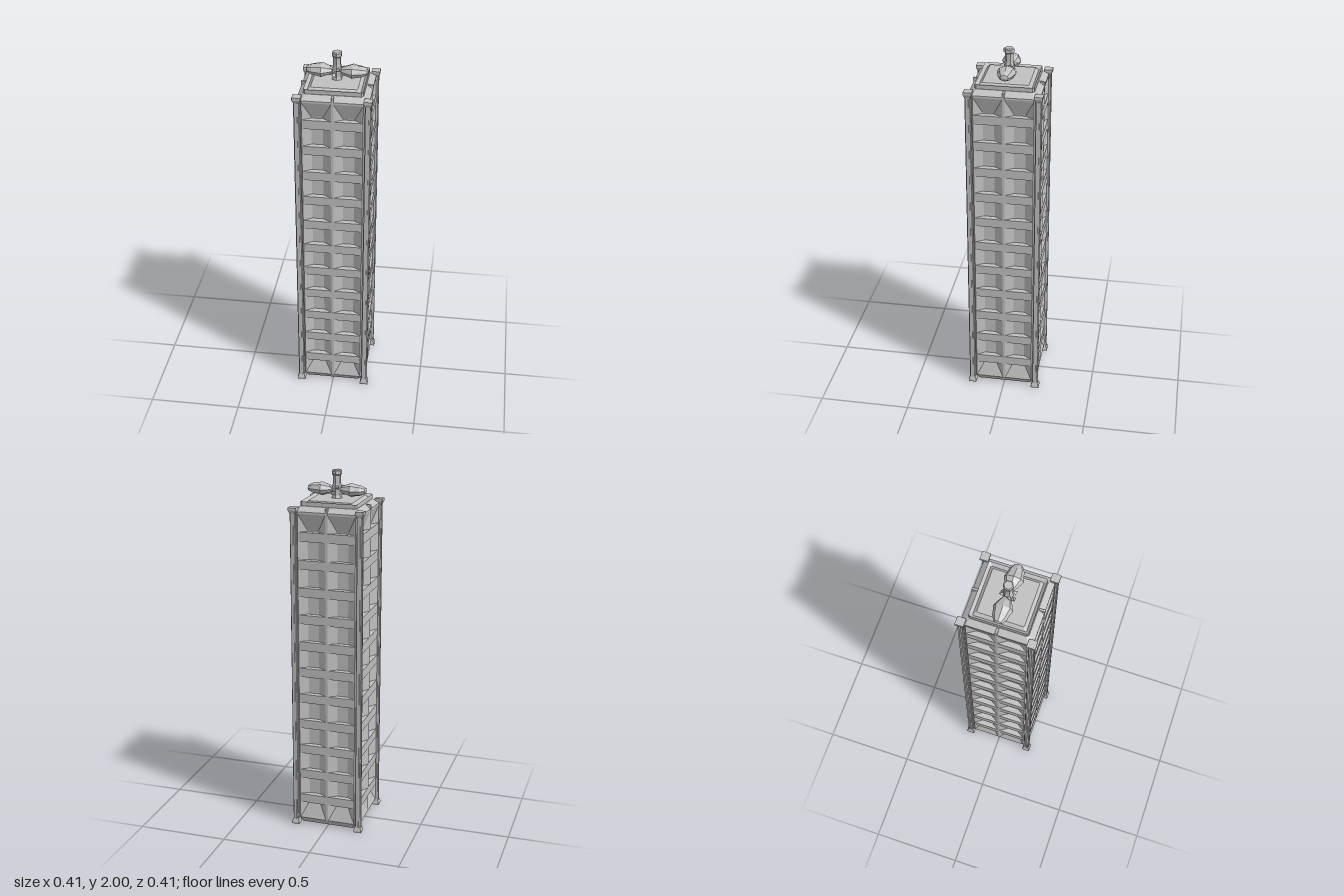
import * as THREE from 'three';

const stone = new THREE.MeshStandardMaterial({ color: 0xc0c0c0, flatShading: true });
stone.name = 'grey stone';

export function createModel() {
  const root = new THREE.Group();
  root.name = 'tower';

  const add = (parent, name, geometry, x = 0, y = 0, z = 0) => {
    const mesh = new THREE.Mesh(geometry, stone);
    mesh.name = name;
    mesh.position.set(x, y, z);
    parent.add(mesh);
    return mesh;
  };
  const box = (parent, name, w, h, d, x, y, z) =>
    add(parent, name, new THREE.BoxGeometry(w, h, d), x, y, z);

  // Flat-faced geometry from quads, each with anticlockwise corners
  const fromQuads = (quads) => {
    const pos = [];
    for (const [a, b, c, d] of quads) pos.push(...a, ...b, ...c, ...a, ...c, ...d);
    const g = new THREE.BufferGeometry();
    g.setAttribute('position', new THREE.Float32BufferAttribute(pos, 3));
    g.computeVertexNormals();
    return g;
  };

  // Square with cut corners, lofted between [half width, corner cut, y] sections
  const loft = (sections) => {
    const quads = [];
    const loops = sections.map(([h, c, y]) => {
      const e = h - c;
      return [[h, e], [e, h], [-e, h], [-h, e], [-h, -e], [-e, -h], [e, -h], [h, -e]]
        .map(([x, z]) => [x, y, z]);
    });
    for (let s = 0; s < loops.length - 1; s++) {
      for (let i = 0; i < 8; i++) {
        const j = (i + 1) % 8, a = loops[s], b = loops[s + 1];
        quads.push([a[i], b[i], b[j], a[j]]);
      }
    }
    const top = loops[loops.length - 1], base = loops[0];
    for (let i = 1; i < 7; i += 2) {
      quads.push([base[0], base[i], base[i + 1], base[i + 2]]);
      quads.push([top[0], top[i + 2], top[i + 1], top[i]]);
    }
    return fromQuads(quads);
  };

  const half = 0.186, cut = 0.028, low = 0.038, high = 1.792;

  // Bevelled plinth and sloping crown
  add(root, 'plinth', loft([[0.168, 0.022, 0.006], [half, cut, low]]));
  add(root, 'crown', loft([[half, cut, high], [half, cut, 1.803], [0.155, 0.01, 1.828]]));

  // Roof slab with a V-shaped gutter inside its rim
  add(root, 'roofSlab', loft([[0.153, 0.008, 1.815], [0.153, 0.008, 1.851],
    [0.137, 0.005, 1.836], [0.121, 0.003, 1.851]]));

  // Upright rectangle corners at depth z
  const rect = (x0, x1, y0, y1, z) => [[x0, y0, z], [x1, y0, z], [x1, y1, z], [x0, y1, z]];

  // Tall recess with four slanted sides and a flat back
  const niche = (x0, x1, inset) => {
    const o = rect(x0, x1, low, high, half);
    const b = rect(x0 + inset, x1 - inset, 0.132, 1.7, 0.157);
    const quads = [b];
    for (let i = 0; i < 4; i++) {
      const j = (i + 1) % 4;
      quads.push([o[i], o[j], b[j], b[i]]);
    }
    return fromQuads(quads);
  };

  // Four identical facades
  const edge = half - cut;
  for (let side = 0; side < 4; side++) {
    const face = new THREE.Group();
    face.name = 'facade';
    face.rotation.y = side * Math.PI / 2;
    root.add(face);
    add(face, 'leftNiche', niche(0.006, edge, 0.046));
    add(face, 'rightNiche', niche(-edge, -0.006, 0.046));
    add(face, 'centreRib', fromQuads([rect(-0.006, 0.006, low, high, half)]));
    add(face, 'cornerBevel', fromQuads([[[edge, low, half], [half, low, edge],
      [half, high, edge], [edge, high, half]]]));
    box(face, 'crownRib', 0.012, 0.03, 0.033, 0, 1.81, 0.1715);
    for (let i = 0; i < 11; i++) {
      box(face, 'floorBand', 0.314, 0.05, 0.03, 0, 0.16 + i * 0.151, 0.1715);
    }
  }

  // Corner posts with flared feet and caps
  for (const x of [-1, 1]) {
    for (const z of [-1, 1]) {
      const post = new THREE.Group();
      post.name = 'cornerPost';
      post.position.set(x * 0.1825, 0, z * 0.1825);
      root.add(post);
      box(post, 'shaft', 0.026, 1.79, 0.026, 0, 0.91, 0);
      box(post, 'shaftRib', 0.034, 1.77, 0.01, 0, 0.91, 0);
      box(post, 'shaftRib', 0.01, 1.77, 0.034, 0, 0.91, 0);
      add(post, 'foot', loft([[0.0225, 0.001, 0], [0.0225, 0.001, 0.01], [0.014, 0.001, 0.034]]));
      add(post, 'cap', loft([[0.014, 0.001, 1.79], [0.0225, 0.001, 1.81], [0.0225, 0.001, 1.825]]));
    }
  }

  // Roof ornament: faceted pods either side of a hexagonal spindle
  const lathe = (points, sides) =>
    new THREE.LatheGeometry(points.map(([r, y]) => new THREE.Vector2(r, y)), sides);
  const ornament = new THREE.Group();
  ornament.name = 'roofOrnament';
  root.add(ornament);
  add(ornament, 'spindle', lathe([[0, 1.835], [0.034, 1.835], [0.024, 1.865], [0.027, 1.9],
    [0.022, 1.93], [0.022, 1.972], [0.028, 1.978], [0.028, 1.995], [0.023, 2], [0, 2]], 6));
  for (const s of [-1, 1]) {
    const pod = add(ornament, 'pod', lathe([[0, 0.015], [0.022, 0.025], [0.034, 0.045], [0.051, 0.08],
      [0.043, 0.105], [0.038, 0.13], [0.022, 0.156], [0, 0.162]], 8), 0, 1.896, 0);
    pod.rotation.z = -s * Math.PI / 2;
    pod.scale.x = 0.72;
    const lobe = add(ornament, 'innerLobe', new THREE.IcosahedronGeometry(0.03), s * 0.045, 1.89, 0);
    lobe.scale.y = 0.8;
  }
  // Leafy ring around the spindle
  for (let i = 0; i < 8; i++) {
    const a = (i + 0.5) * Math.PI / 4;
    const leaf = add(ornament, 'leaf', new THREE.TetrahedronGeometry(0.016),
      Math.cos(a) * 0.032, 1.88 + (i % 2) * 0.03, Math.sin(a) * 0.032);
    leaf.rotation.set(i, a, i * 0.7);
  }
  return root;
}
